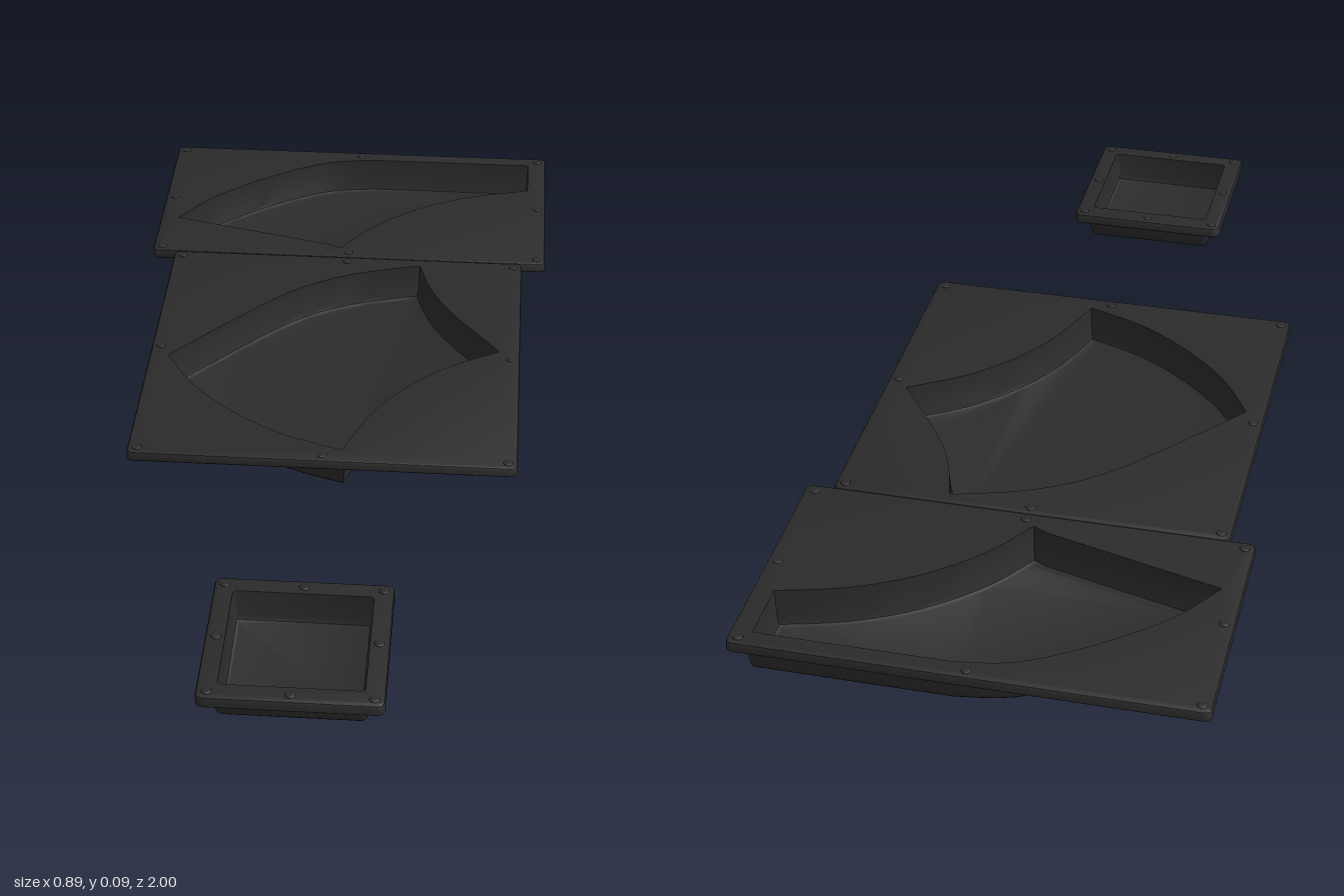
import * as THREE from 'three';
import { mergeGeometries, toCreasedNormals } from 'three/addons/utils/BufferGeometryUtils.js';

const black = new THREE.MeshStandardMaterial({ color: 0x2b2b2b });
black.name = 'black plastic';

// Closed outline from curved or straight sides given as [x, z] points
function outline(sides) {
  const pts = [];
  for (const side of sides) {
    const v = side.map(([x, z]) => new THREE.Vector2(x, -z));
    const n = v.length > 2 ? 16 : 1;
    const sampled = n > 1 ? new THREE.SplineCurve(v).getPoints(n) : v;
    pts.push(...sampled.slice(0, -1));
  }
  return THREE.ShapeUtils.isClockWise(pts) ? pts.reverse() : pts;
}

// Rectangle with rounded corners
function roundedRect(x0, x1, z0, z1, r) {
  const pts = [];
  const corners = [[x1 - r, -z0 - r], [x0 + r, -z0 - r], [x0 + r, -z1 + r], [x1 - r, -z1 + r]];
  corners.forEach(([cx, cy], k) => {
    for (let i = 0; i <= 4; i++) {
      const a = (k + i / 4) * Math.PI / 2;
      pts.push(new THREE.Vector2(cx + r * Math.cos(a), cy + r * Math.sin(a)));
    }
  });
  return pts;
}

// Grow (or shrink, if negative) a counter-clockwise loop
function offset(loop, d) {
  const normal = (a, b) => new THREE.Vector2(b.y - a.y, a.x - b.x).normalize();
  return loop.map((p, i) => {
    const n1 = normal(loop.at(i - 1), p);
    const n2 = normal(p, loop[(i + 1) % loop.length]);
    const k = d / Math.max(0.4, 1 + n1.dot(n2));
    return p.clone().addScaledVector(n1.add(n2), k);
  });
}

// Sweep a profile of [offset, height] pairs around a loop
function skirt(loop, profile) {
  const rings = profile.map(([d, y]) => offset(loop, d).map(p => [p.x, y, -p.y]));
  const pos = [];
  for (let i = 0; i < rings.length - 1; i++) {
    for (let j = 0; j < loop.length; j++) {
      const k = (j + 1) % loop.length;
      const [a, b, c, d] = [rings[i][j], rings[i][k], rings[i + 1][k], rings[i + 1][j]];
      pos.push(...a, ...b, ...c, ...a, ...c, ...d);
    }
  }
  const g = new THREE.BufferGeometry();
  g.setAttribute('position', new THREE.Float32BufferAttribute(pos, 3));
  return g;
}

// Flat horizontal face, optionally with a hole, facing up or down
function face(loop, y, up, hole) {
  const shape = new THREE.Shape(loop);
  if (hole) shape.holes.push(new THREE.Path(hole));
  const g = new THREE.ShapeGeometry(shape).toNonIndexed();
  g.deleteAttribute('uv');
  g.deleteAttribute('normal');
  g.rotateX(-Math.PI / 2);
  if (!up) {
    const p = g.attributes.position.array;
    for (let i = 0; i < p.length; i += 9) {
      for (let k = 0; k < 3; k++) [p[i + 3 + k], p[i + 6 + k]] = [p[i + 6 + k], p[i + 3 + k]];
    }
  }
  return g.translate(0, y, 0);
}

function addMesh(group, name, parts) {
  const mesh = new THREE.Mesh(toCreasedNormals(mergeGeometries(parts), 0.6), black);
  mesh.name = name;
  group.add(mesh);
}

function makeTray(name, [x0, x1, z0, z1], pocket, top, lip) {
  const group = new THREE.Group();
  group.name = name;
  const rim = roundedRect(x0, x1, z0, z1, 0.014);
  const under = top - 0.01;

  // Top plate with a downturned lip and a cut-out for the pocket
  addMesh(group, 'rimPlate', [
    skirt(rim, [[-0.012, under], [-0.012, lip], [-0.003, lip], [0, lip + 0.003],
      [0, top - 0.006], [-0.002, top - 0.002], [-0.006, top]]),
    face(offset(rim, -0.006), top, true, pocket),
    face(offset(rim, -0.012), under, false, offset(pocket, 0.01)),
  ]);

  // Pocket bowl: inside and outside walls with a rounded foot
  addMesh(group, 'pocket', [
    skirt(pocket, [[0, top], [-0.004, 0.02], [-0.007, 0.012], [-0.014, 0.009]]),
    face(offset(pocket, -0.014), 0.009, true),
    skirt(pocket, [[-0.012, 0], [-0.002, 0.003], [0.004, 0.009], [0.007, 0.02], [0.01, under]]),
    face(offset(pocket, -0.012), 0, false),
  ]);

  // Small low studs on the corners and edge centres
  const dome = new THREE.SphereGeometry(0.01, 10, 4, 0, Math.PI * 2, 0, Math.PI / 2).scale(1, 0.25, 1);
  const xm = (x0 + x1) / 2, zm = (z0 + z1) / 2;
  for (const x of [x0 + 0.02, xm, x1 - 0.02]) {
    for (const z of [z0 + 0.02, zm, z1 - 0.02]) {
      if (x === xm && z === zm) continue;
      const stud = new THREE.Mesh(dome, black);
      stud.name = 'stud';
      stud.position.set(x, top, z);
      group.add(stud);
    }
  }
  return group;
}

export function createModel() {
  const model = new THREE.Group();
  model.name = 'trays';

  // Long curved pocket in the back tray
  const backPocket = outline([
    [[-0.405, -0.655], [-0.33, -0.76], [-0.2, -0.87], [-0.08, -0.94], [0.03, -0.962]],
    [[0.03, -0.962], [0.405, -0.962]],
    [[0.405, -0.962], [0.405, -0.84]],
    [[0.405, -0.84], [0.27, -0.8], [0.15, -0.735], [0.05, -0.645], [-0.02, -0.545]],
    [[-0.02, -0.545], [-0.05, -0.56]],
    [[-0.05, -0.56], [-0.405, -0.655]],
  ]);
  // Four-sided curved pocket in the middle tray
  const middlePocket = outline([
    [[0.165, -0.48], [0.195, -0.38], [0.245, -0.285], [0.35, -0.14]],
    [[0.35, -0.14], [0.24, -0.07], [0.155, 0.015], [0.09, 0.115], [0.04, 0.245]],
    [[0.04, 0.245], [-0.09, 0.195], [-0.2, 0.12], [-0.29, 0.03], [-0.355, -0.075]],
    [[-0.355, -0.075], [-0.26, -0.19], [-0.12, -0.345], [0.01, -0.43], [0.165, -0.48]],
  ]);
  const smallPocket = roundedRect(-0.133, 0.133, 0.695, 0.96, 0.008);

  model.add(
    makeTray('backTray', [-0.447, 0.447, -1, -0.506], backPocket, 0.088, 0.065),
    makeTray('middleTray', [-0.395, 0.395, -0.508, 0.285], middlePocket, 0.0875, 0.065),
    makeTray('smallTray', [-0.17, 0.17, 0.655, 1], smallPocket, 0.076, 0.052),
  );
  return model;
}
